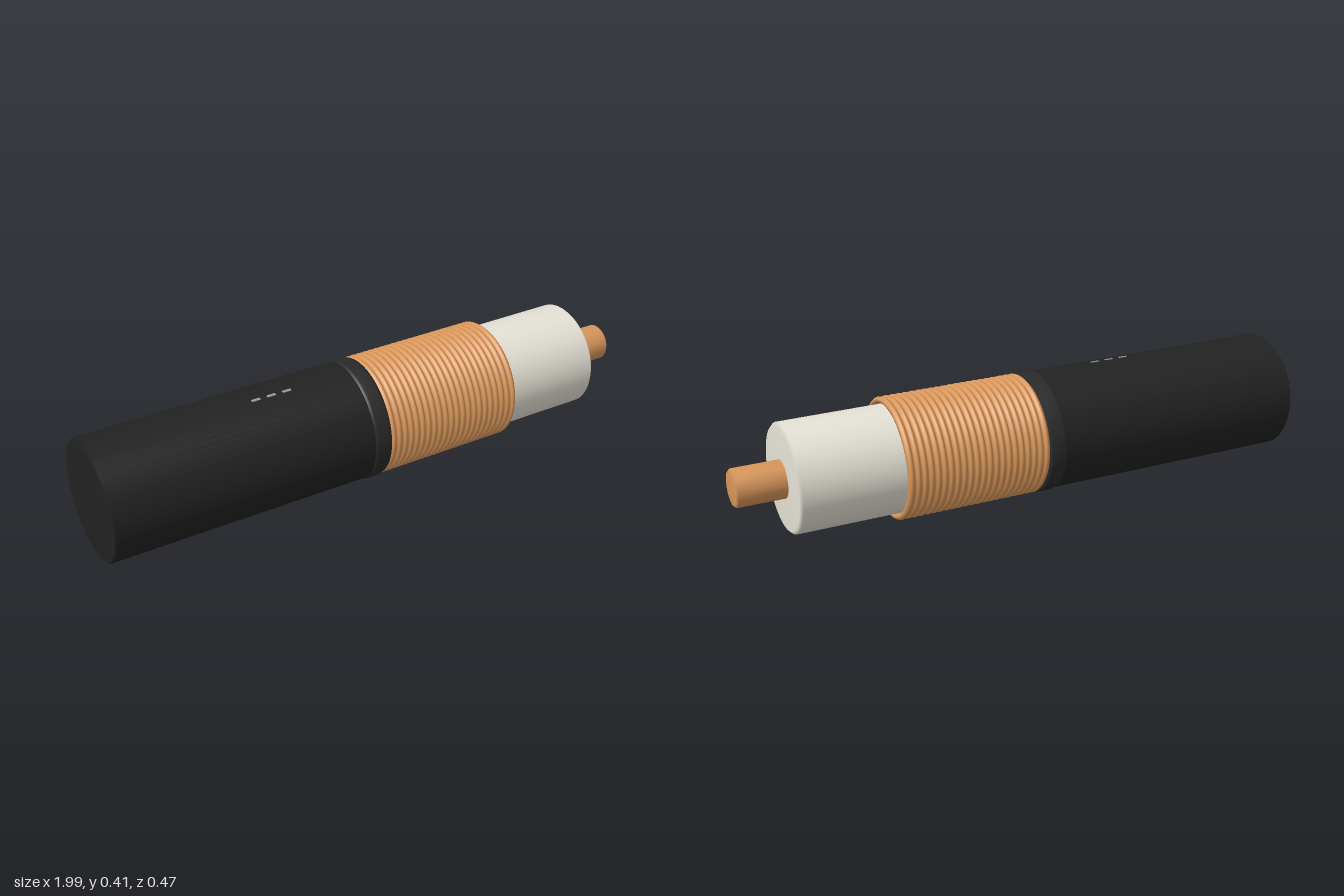
import * as THREE from 'three';

const AXIS_Y = 0.208;
const TILT = 0.0435;

const paint = (color) => new THREE.MeshStandardMaterial({ color });

// Solid of revolution along +x; profile is [distance along cable, radius]
function turned(name, profile, material, segments = 64) {
  const points = profile.map(([s, r]) => new THREE.Vector2(r, s));
  const geometry = new THREE.LatheGeometry(points, segments);
  geometry.rotateZ(-Math.PI / 2);
  const mesh = new THREE.Mesh(geometry, material);
  mesh.name = name;
  return mesh;
}

// Capped cylinder with slightly eased, softly shaded edges
function rod(name, start, end, radius, ease, material, segments) {
  return turned(name, [
    [start, 0], [start, radius - ease], [start + ease, radius],
    [end - ease, radius], [end, radius - ease], [end, 0],
  ], material, segments);
}

export function createModel() {
  const model = new THREE.Group();
  model.name = 'coaxialCable';
  const cable = new THREE.Group();
  cable.name = 'cableLayers';
  cable.position.set(0, AXIS_Y, 0.01);
  cable.rotation.y = -TILT;
  model.add(cable);

  const rubber = paint(0x222222);
  const lipRubber = paint(0x2a2a2a);
  const copper = paint(0xd8965a);
  const ivory = paint(0xe6e2d6);
  const ink = paint(0x9a9a9a);

  // Outer jacket and its raised lip
  cable.add(rod('jacket', -0.99, -0.03, 0.203, 0.008, rubber));
  cable.add(turned('jacketLip', [
    [-0.085, 0.195], [-0.08, 0.204], [-0.07, 0.207],
    [-0.03, 0.207], [-0.02, 0.203], [-0.02, 0.18],
  ], lipRubber));

  // Copper shield: a sleeve wound from parallel ridges
  const ridges = 22, start = -0.02, end = 0.48;
  const steps = 6, total = ridges * steps;
  const sleeve = [[start, 0.186]];
  for (let i = 0; i <= total; i++) {
    const ripple = Math.abs(Math.sin((i / steps) * Math.PI));
    sleeve.push([start + ((end - start) * i) / total, 0.196 + 0.009 * ripple]);
  }
  sleeve.push([end, 0.188], [end - 0.01, 0.186], [start, 0.186]);
  cable.add(turned('braidedShield', sleeve, copper));

  // Insulating core and centre conductor
  cable.add(rod('insulator', -0.03, 0.83, 0.181, 0.01, ivory));
  cable.add(rod('conductor', 0.8, 0.995, 0.063, 0.008, copper, 40));

  // Three small printed dashes along the top of the jacket
  const around = 0.13;
  for (let i = 0; i < 3; i++) {
    const dash = new THREE.Mesh(new THREE.BoxGeometry(0.03, 0.004, 0.01), ink);
    dash.name = 'printedDash';
    dash.position.set(-0.42 + i * 0.055, 0.2025 * Math.cos(around), 0.2025 * Math.sin(around));
    dash.rotation.x = around;
    cable.add(dash);
  }

  return model;
}
